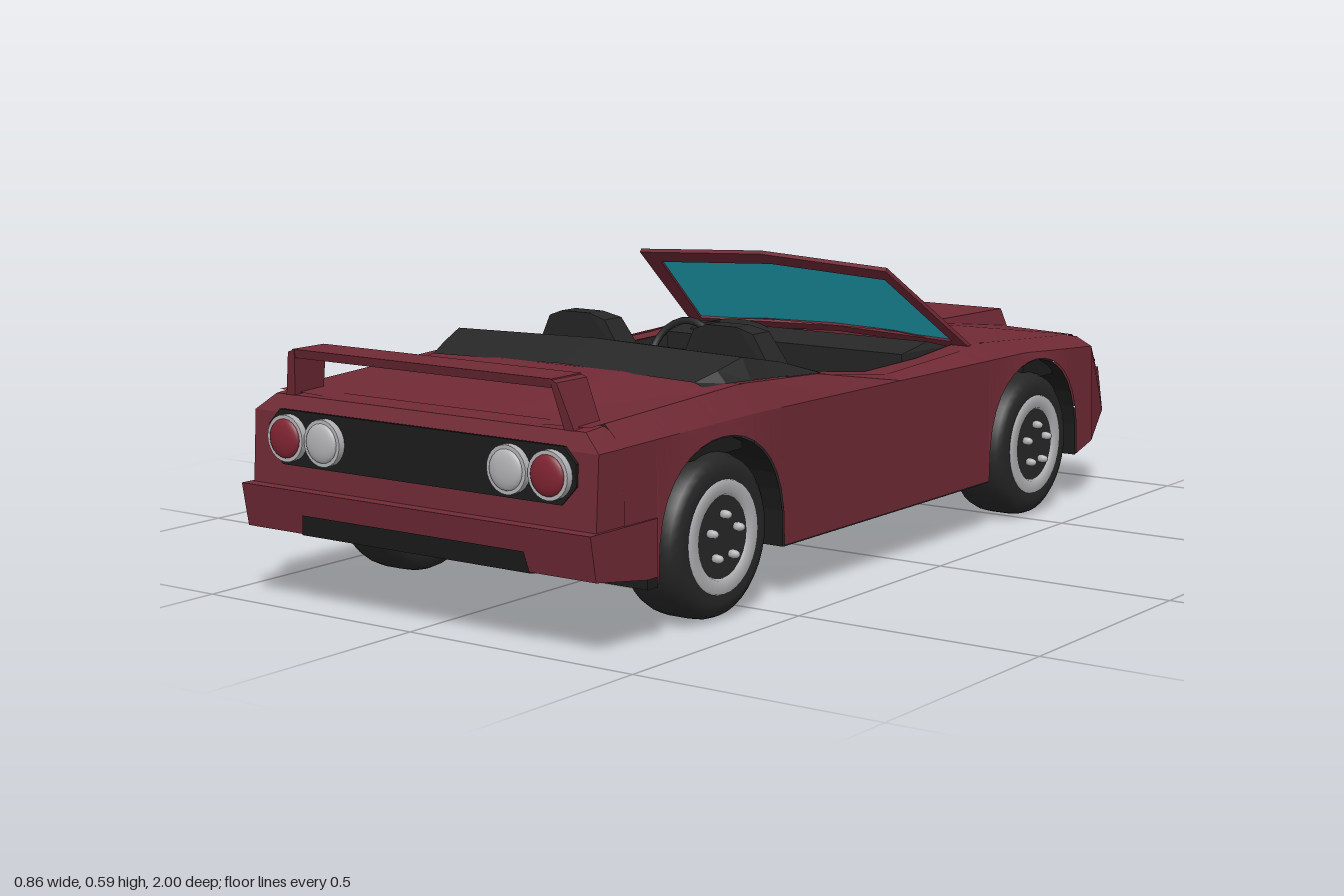
import * as THREE from 'three';
import { ConvexGeometry } from 'three/addons/geometries/ConvexGeometry.js';

const material = (name, color, extra = {}) => {
  const m = new THREE.MeshStandardMaterial({ color, ...extra });
  m.name = name;
  return m;
};

// Piecewise-linear curve through [z, value] pairs
const curve = (...pts) => (z) => {
  if (z <= pts[0][0]) return pts[0][1];
  for (let i = 1; i < pts.length; i++) {
    const [a, va] = pts[i - 1], [b, vb] = pts[i];
    if (z <= b) return va + ((vb - va) * (z - a)) / (b - a);
  }
  return pts[pts.length - 1][1];
};

// Body lines along z (nose at -z)
const ARCHES = [-0.54, 0.61];
const halfWidth = curve([-0.97, 0.345], [-0.81, 0.403], [-0.6, 0.41], [0.9, 0.41]);
const sill = curve([-0.97, 0.165], [-0.74, 0.105], [0.805, 0.105], [0.84, 0.122], [0.985, 0.145]);
const shoulder = curve([-0.97, 0.265], [-0.81, 0.335], [-0.5, 0.358], [0.5, 0.367], [0.95, 0.36]);
const edgeX = curve([-0.97, 0.335], [-0.81, 0.36], [-0.38, 0.365], [0.2, 0.372], [0.95, 0.365]);
const edgeY = curve([-0.97, 0.268], [-0.8, 0.36], [-0.38, 0.39], [-0.2, 0.375], [0, 0.372], [0.25, 0.405], [0.5, 0.418], [0.94, 0.398]);
const deckY = curve([-0.97, 0.27], [-0.8, 0.366], [-0.5, 0.402], [-0.38, 0.404], [0.36, 0.41], [0.57, 0.43], [0.94, 0.39]);
const bottom = (z) => {
  const c = ARCHES.find((a) => Math.abs(z - a) < 0.195);
  if (c === undefined) return sill(z);
  return 0.105 + 0.235 * Math.pow(1 - ((z - c) / 0.195) ** 2, 0.35);
};
const stations = (extra) => {
  const zs = [...extra];
  for (const c of ARCHES) for (let i = 0; i <= 18; i++) zs.push(c - 0.195 * Math.cos((Math.PI * i) / 18));
  return zs.sort((a, b) => a - b);
};

// The nose is bowed in plan and leans back at the top
const pt = (x, y, z) => [x, y, z < -0.96 ? z - 0.03 * (1 - Math.abs(x) / 0.345) + (y > 0.2 ? 0.025 : 0) : z];

// Faceted sheet from rows of points, mirrored in x
function sheet(rows) {
  const pos = [];
  for (const s of [1, -1]) {
    for (let i = 0; i + 1 < rows.length; i++) for (let j = 0; j + 1 < rows[i].length; j++) {
      const a = rows[i][j], b = rows[i + 1][j], c = rows[i + 1][j + 1], d = rows[i][j + 1];
      for (const p of s > 0 ? [a, b, c, a, c, d] : [a, c, b, a, d, c]) pos.push(p[0] * s, p[1], p[2]);
    }
  }
  const g = new THREE.BufferGeometry();
  g.setAttribute('position', new THREE.Float32BufferAttribute(pos, 3));
  g.computeVertexNormals();
  return g;
}
const loft = (zs, section) => sheet(zs.map((z) => section(z).map(([x, y]) => pt(x, y, z))));

// Convex solids; "symmetric" joins the points with their mirror image
const hull = (pts) => new ConvexGeometry(pts.map((p) => new THREE.Vector3(...p)));
const flip = (pts) => pts.map(([x, y, z]) => [-x, y, z]);
const symmetric = (pts) => hull([...pts, ...flip(pts)]);

export function createModel() {
  const two = { side: THREE.DoubleSide };
  const red = material('body red', 0x702a35, two);
  const trim = material('interior black', 0x272727, two);
  const under = material('underbody black', 0x1c1c1c, two);
  const rubber = material('tyre black', 0x262626);
  const glass = material('cyan glass', 0x25c2d8, two);
  const metal = material('light grey metal', 0xb4b4b6, two);
  const lampRed = material('tail lamp red', 0x802431);

  const car = new THREE.Group();
  car.name = 'convertible';
  const add = (name, geometry, mat, parent = car) => {
    const m = new THREE.Mesh(geometry, mat);
    m.name = name;
    parent.add(m);
    return m;
  };
  const box = (name, mat, w, h, d, x, y, z) => add(name, new THREE.BoxGeometry(w, h, d), mat).position.set(x, y, z);
  const pair = (name, pts, mat) => {
    add(name, hull(pts), mat);
    add(name, hull(flip(pts)), mat);
  };

  // Sides with wheel arches, and the floor that follows them
  add('bodySides', loft(stations([-0.97, -0.81, -0.3, 0, 0.25, 0.84, 0.9]), (z) => [
    [halfWidth(z), bottom(z)], [halfWidth(z) - 0.005, shoulder(z)], [edgeX(z), edgeY(z)],
  ]), red);
  add('underbody', loft(stations([-0.97, 0, 0.82]), (z) => [[halfWidth(z) - 0.003, bottom(z) - 0.003], [0, bottom(z) - 0.003]]), under);
  box('frontArchLiner', under, 0.76, 0.05, 0.13, 0, 0.315, -0.6);
  box('rearArchLiner', under, 0.76, 0.04, 0.18, 0, 0.32, 0.6);
  box('rearArchPanel', under, 0.54, 0.13, 0.04, 0, 0.17, 0.438);

  // Nose deck with sunken headlight wells
  add('noseDeck', loft([-0.97, -0.94, -0.79], (z) => {
    const x = edgeX(z), y = edgeY(z), low = y - Math.max(0, (z + 0.94) / 0.15) * 0.06;
    return [[x, y], [x - 0.01, y], [x - 0.011, low], [x - 0.114, low], [x - 0.115, y + 0.002], [0, deckY(z)]];
  }), red);
  add('headlightGlass', sheet([0.303, 0.361].map((y) => [[0.25, y, -0.79], [0.348, y, -0.79]])), glass);

  // Hood, scoop, cockpit rim and rear deck
  add('hood', loft([-0.79, -0.5, -0.38, -0.34], (z) => [[edgeX(z), edgeY(z)], [0.17, deckY(z)], [0, deckY(z)]]), red);
  add('hoodScoop', symmetric([
    [0.19, 0.34, -0.815], [0.175, 0.404, -0.795], [0.155, 0.404, -0.5], [0.165, 0.36, -0.5],
  ]), red);
  add('cockpitRim', loft([-0.34, -0.2, 0, 0.25, 0.36], (z) => [[edgeX(z), edgeY(z)], [0.315, edgeY(z)]]), red);
  add('rearDeck', loft([0.36, 0.5, 0.57, 0.94], (z) => [[edgeX(z), edgeY(z)], [0.14, deckY(z)], [0, deckY(z)]]), red);

  // Nose face with slot and marker lamps
  const face = (u, v, out) => [u * 0.345, 0.165 + 0.102 * v, -0.97 - 0.03 * (1 - Math.abs(u)) + 0.025 * v - out];
  const facePlate = (u0, u1, v0, v1, out) => sheet([v0, v1].map((v) => [face(u0, v, out), face(u1, v, out)]));
  add('noseFace', facePlate(0, 1, 0, 1, 0), red);
  add('noseSlot', facePlate(0, 0.56, 0.34, 0.53, 0.003), under);
  add('noseLamps', facePlate(0.72, 0.89, 0.3, 0.55, 0.003), metal);

  // Tail and bumper blocks
  add('tail', symmetric([
    [0.405, 0.22, 0.88], [0.405, 0.22, 0.975], [0.405, 0.36, 0.966], [0.365, 0.392, 0.95],
    [0.365, 0.396, 0.9], [0.405, 0.36, 0.88], [0, 0.392, 0.945],
  ]), red);
  add('rearBumper', symmetric([
    [0.412, 0.225, 0.81], [0.412, 0.225, 1], [0.412, 0.142, 0.985], [0.412, 0.12, 0.84], [0.412, 0.12, 0.81],
  ]), red);
  add('bumperInset', sheet([[[0, 0.18, 0.996], [0.262, 0.18, 0.996]], [[0, 0.141, 0.989], [0.27, 0.141, 0.989]],
    [[0, 0.118, 0.845], [0.27, 0.118, 0.845]]]), under);
  box('rearLip', under, 0.82, 0.022, 0.03, 0, 0.112, 0.823);
  box('exhaustTrim', metal, 0.12, 0.007, 0.006, 0.265, 0.109, 0.84);

  // Tail panel and round lamps standing out from it
  const panel = new THREE.Shape([[0.33, 0.265], [0.362, 0.3], [0.362, 0.34], [0.335, 0.368],
    [-0.335, 0.368], [-0.362, 0.34], [-0.362, 0.3], [-0.33, 0.265]].map((p) => new THREE.Vector2(...p)));
  add('tailPanel', new THREE.ExtrudeGeometry(panel, { depth: 0.007, bevelEnabled: false }), under).position.z = 0.967;
  for (const s of [-1, 1]) for (const [x, mat] of [[0.31, lampRed], [0.218, metal]]) {
    const bezel = add('lampBezel', new THREE.CylinderGeometry(0.044, 0.044, 0.016, 24), metal);
    bezel.rotation.x = Math.PI / 2;
    bezel.position.set(s * x, 0.317, 0.98);
    const lens = add('lampLens', new THREE.SphereGeometry(0.037, 20, 10), mat);
    lens.scale.z = 0.28;
    lens.position.set(s * x, 0.317, 0.988);
  }

  // Rear wing
  add('wingBar', symmetric([[0.31, 0.464, 0.89], [0.31, 0.464, 0.962], [0.305, 0.481, 0.885], [0.305, 0.481, 0.968]]), red);
  pair('wingLeg', [[0.3, 0.481, 0.885], [0.3, 0.481, 0.968], [0.316, 0.475, 0.885], [0.316, 0.475, 0.968],
    [0.318, 0.39, 0.875], [0.318, 0.39, 0.95], [0.34, 0.39, 0.875], [0.34, 0.39, 0.95]], red);

  // Windscreen: outer and inner outline of one half, filled and mirrored
  const outer = [[0, 0.39, -0.405], [0.36, 0.385, -0.355], [0.31, 0.571, -0.095], [0, 0.586, -0.1]];
  const inner = [[0, 0.405, -0.383], [0.325, 0.402, -0.335], [0.283, 0.548, -0.135], [0, 0.562, -0.138]];
  for (let i = 0; i < 3; i++) {
    const rim = [outer[i], outer[i + 1], inner[i + 1], inner[i]];
    pair('windscreenFrame', [...rim, ...rim.map(([x, y, z]) => [x, y - 0.007, z + 0.005])], red);
  }
  add('windscreenGlass', sheet([[inner[0], inner[1]], [inner[3], inner[2]]]
    .map((r) => r.map(([x, y, z]) => [x, y - 0.003, z + 0.002]))), glass);

  // Cockpit tub, dashboard with instrument hood, and console
  add('cockpitTub', loft([-0.34, -0.2, 0, 0.25, 0.36], (z) => [[0.317, edgeY(z) + 0.001], [0.305, 0.14], [0, 0.14]]), trim);
  box('cockpitRearWall', trim, 0.62, 0.27, 0.02, 0, 0.275, 0.36);
  add('dashboard', symmetric([[0.312, 0.2, -0.34], [0.312, 0.385, -0.33], [0.3, 0.4, -0.27], [0.3, 0.385, -0.17], [0.3, 0.25, -0.19]]), trim);
  const hood = add('instrumentHood', new THREE.CylinderGeometry(0.09, 0.09, 0.06, 16, 1, false, -Math.PI / 2, Math.PI), trim);
  hood.rotation.x = -Math.PI / 2;
  hood.scale.z = 0.3;
  hood.position.set(-0.17, 0.385, -0.23);
  box('console', trim, 0.08, 0.18, 0.54, 0, 0.23, 0.08);

  // Seats
  for (const s of [-1, 1]) {
    const x = s * 0.18;
    box('seatCushion', trim, 0.22, 0.1, 0.26, x, 0.2, 0.08);
    for (const side of [-1, 1]) box('seatBolster', trim, 0.03, 0.05, 0.25, x + side * 0.105, 0.26, 0.08);
    const back = [];
    for (const [w, y, z0, z1] of [[0.115, 0.2, 0.19, 0.25], [0.122, 0.38, 0.21, 0.28], [0.07, 0.475, 0.235, 0.29], [0.035, 0.487, 0.25, 0.295]])
      for (const d of [-w, w]) back.push([x + d, y, z0], [x + d, y, z1]);
    add('seatBack', hull(back), trim);
  }

  // Steering wheel on the driver's side
  const steering = new THREE.Group();
  steering.name = 'steeringWheel';
  add('steeringRim', new THREE.TorusGeometry(0.075, 0.008, 6, 24), trim, steering);
  add('steeringSpoke', new THREE.BoxGeometry(0.15, 0.02, 0.01), trim, steering);
  const column = add('steeringColumn', new THREE.CylinderGeometry(0.014, 0.014, 0.16, 8), trim, steering);
  column.rotation.x = Math.PI / 2;
  column.position.z = -0.08;
  steering.position.set(-0.17, 0.36, -0.048);
  steering.rotation.x = -0.4;
  car.add(steering);

  // Folded roof cover with forward arms
  const coverTop = curve([0.34, 0.445], [0.46, 0.468], [0.57, 0.432]);
  const coverX = curve([0.34, 0.367], [0.48, 0.364], [0.57, 0.335]);
  add('roofCover', loft([0.34, 0.4, 0.46, 0.52, 0.57], (z) => [
    [coverX(z), edgeY(z) + 0.002], [coverX(z) - 0.02, coverTop(z) - 0.008], [0, coverTop(z)],
  ]), trim);
  add('roofCoverFront', sheet([[[0, 0.445, 0.34], [0.345, 0.437, 0.34]], [[0, 0.36, 0.35], [0.345, 0.36, 0.35]]]), trim);
  pair('roofCoverArm', [[0.368, 0.404, 0.23], [0.35, 0.407, 0.23], [0.367, 0.41, 0.34], [0.347, 0.437, 0.34],
    [0.28, 0.438, 0.35], [0.3, 0.38, 0.34]], trim);

  // Wheels: built around y, then turned so the outer face points sideways
  const lathe = (pts) => new THREE.LatheGeometry(pts.map((p) => new THREE.Vector2(...p)), 36);
  const tyre = lathe([[0.1, -0.062], [0.12, -0.065], [0.135, -0.062], [0.147, -0.053], [0.153, -0.038], [0.155, -0.02],
    [0.155, 0.02], [0.153, 0.038], [0.147, 0.053], [0.135, 0.062], [0.12, 0.065], [0.1, 0.062]]);
  const rim = lathe([[0.107, 0.06], [0.105, 0.067], [0.08, 0.067], [0.074, 0.055]]);
  for (const z of ARCHES) for (const s of [-1, 1]) {
    const wheel = new THREE.Group();
    wheel.name = 'wheel';
    add('tyre', tyre, rubber, wheel);
    add('outerRim', rim, metal, wheel);
    add('innerRim', rim, metal, wheel).rotation.x = Math.PI;
    add('hub', new THREE.CylinderGeometry(0.077, 0.077, 0.122, 24), trim, wheel);
    for (let i = 0; i < 5; i++) {
      const a = (i * Math.PI * 2) / 5;
      const nut = add('wheelNut', new THREE.SphereGeometry(0.009, 8, 6), metal, wheel);
      nut.scale.y = 1.5;
      nut.position.set(-s * 0.043 * Math.cos(a), 0.069, 0.043 * Math.sin(a));
    }
    wheel.position.set(s * 0.345, 0.155, z);
    wheel.rotation.z = (-s * Math.PI) / 2;
    car.add(wheel);
  }
  return car;
}
